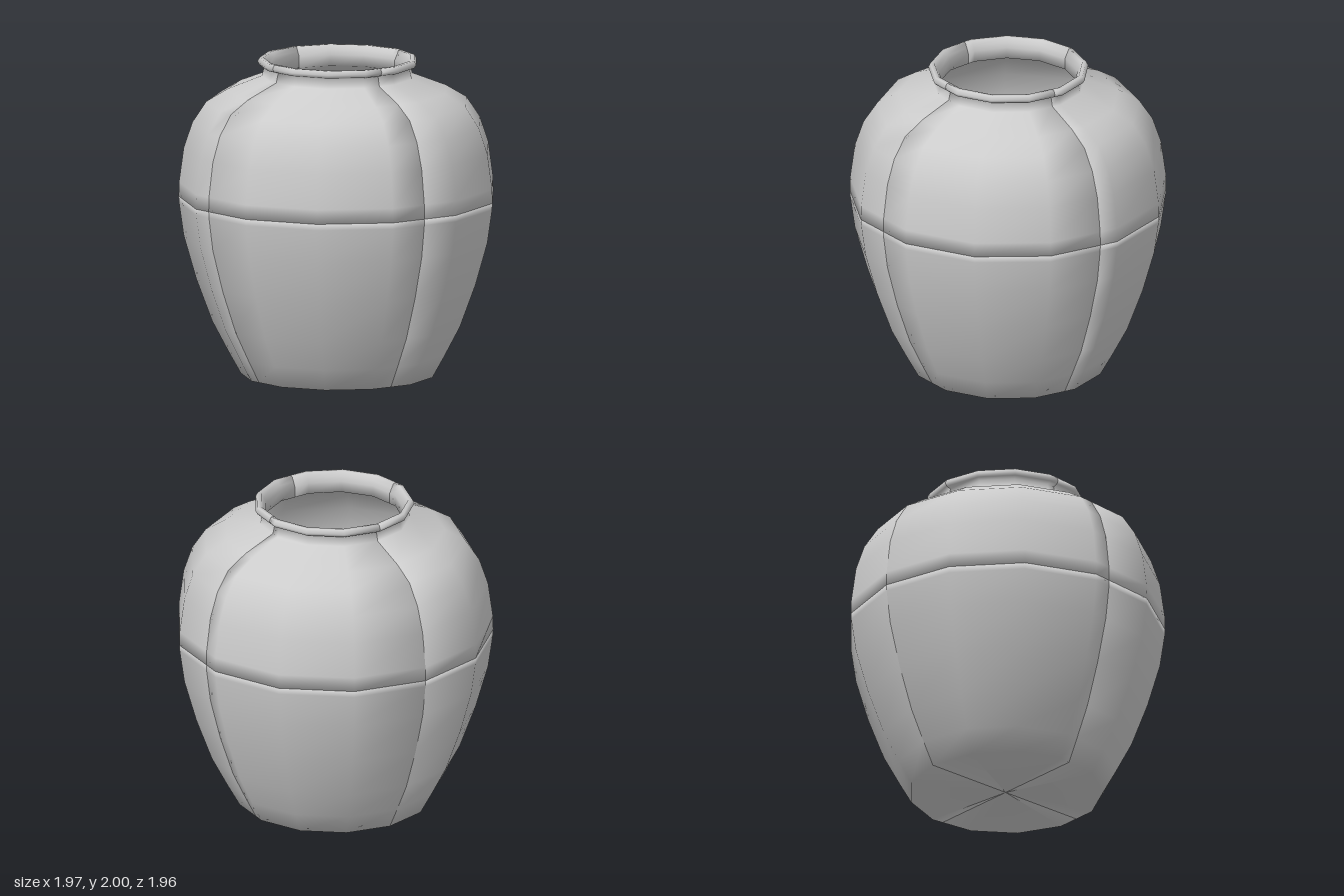
import * as THREE from 'three';

const SIDES = 13, STEP = (2 * Math.PI) / SIDES;
const SEAM_Y = 1.12;

// Closed [radius, height] sections: up the outside, back down the inside
const lowerSection = [
  [0, 0], [0.607, 0], [0.685, 0.14], [0.785, 0.33], [0.885, 0.6], [0.962, 0.87], [0.992, 1.08], [0.994, SEAM_Y],
  [0.964, SEAM_Y], [0.962, 1.08], [0.932, 0.87], [0.855, 0.6], [0.755, 0.33], [0.655, 0.14], [0.59, 0.03], [0, 0.03],
];
const upperSection = [
  [0.994, SEAM_Y], [0.992, 1.21], [0.962, 1.43], [0.908, 1.59], [0.822, 1.72], [0.69, 1.8],
  [0.475, 1.885], [0.46, 1.945], // shoulder and neck
  [0.492, 1.955], [0.503, 1.975], [0.49, 2], [0.465, 2], [0.45, 1.97], // rolled rim
  [0.435, 1.94], [0.435, 1.87],
  [0.67, 1.77], [0.795, 1.695], [0.88, 1.575], [0.932, 1.42], [0.962, 1.21], [0.964, SEAM_Y],
];

// Distance to the edge of a unit 13-sided ring with one corner at the back
function ringRadius(theta) {
  const a = ((((theta - Math.PI) % STEP) + STEP + 1e-9) % STEP) - STEP / 2;
  return Math.cos(STEP / 2) / Math.cos(a);
}

// One quarter of the wall, closed by flat faces at its seams
function quarterGeometry(section, quarter, seamNormalY) {
  const start = (quarter * Math.PI) / 2, end = start + Math.PI / 2;
  const angles = [start, end];
  for (let k = 0; k < SIDES; k++) {
    const a = (Math.PI + k * STEP) % (2 * Math.PI);
    if (a > start + 0.01 && a < end - 0.01) angles.push(a);
  }
  angles.sort((a, b) => a - b);

  const n = section.length, last = angles.length - 1;
  const positions = [], index = [];
  for (const a of angles) {
    const s = ringRadius(a);
    for (const [r, y] of section) positions.push(r * s * Math.sin(a), y, r * s * Math.cos(a));
  }
  for (let i = 0; i < last; i++) {
    for (let j = 0; j < n; j++) {
      const k = (j + 1) % n;
      const a = i * n + j, b = a + n, c = (i + 1) * n + k, d = i * n + k;
      index.push(a, b, c, a, c, d);
    }
  }
  const contour = section.map(([r, y]) => new THREE.Vector2(r, y));
  for (const [a, b, c] of THREE.ShapeUtils.triangulateShape(contour, [])) {
    index.push(a, b, c, last * n + c, last * n + b, last * n + a);
  }

  const geometry = new THREE.BufferGeometry();
  geometry.setAttribute('position', new THREE.Float32BufferAttribute(positions, 3));
  geometry.setIndex(index);
  geometry.computeVertexNormals();

  // Soften the shading over the seam edges
  const normals = geometry.attributes.normal;
  const v = new THREE.Vector3();
  for (let i = 0; i <= last; i++) {
    const side = i === 0 ? -1 : i === last ? 1 : 0;
    for (let j = 0; j < n; j++) {
      v.fromBufferAttribute(normals, i * n + j);
      v.x += 0.5 * side * Math.cos(angles[i]);
      v.z -= 0.5 * side * Math.sin(angles[i]);
      if (section[j][1] === SEAM_Y) v.y += 0.6 * seamNormalY;
      v.normalize();
      normals.setXYZ(i * n + j, v.x, v.y, v.z);
    }
  }
  return geometry;
}

export function createModel() {
  const group = new THREE.Group();
  group.name = 'pot';
  const material = new THREE.MeshStandardMaterial({ color: 0xcccccc });
  const quarters = ['FrontLeft', 'BackLeft', 'BackRight', 'FrontRight'];

  // Four body quarters below the seam, four shoulder-and-rim quarters above
  quarters.forEach((name, q) => {
    const body = new THREE.Mesh(quarterGeometry(lowerSection, q, 1), material);
    body.name = 'body' + name;
    const shoulder = new THREE.Mesh(quarterGeometry(upperSection, q, -1), material);
    shoulder.name = 'shoulder' + name;
    group.add(body, shoulder);
  });

  // The odd-sided ring is centred by its bounds
  group.children.forEach((mesh) => { mesh.position.z = 0.014; });
  return group;
}
